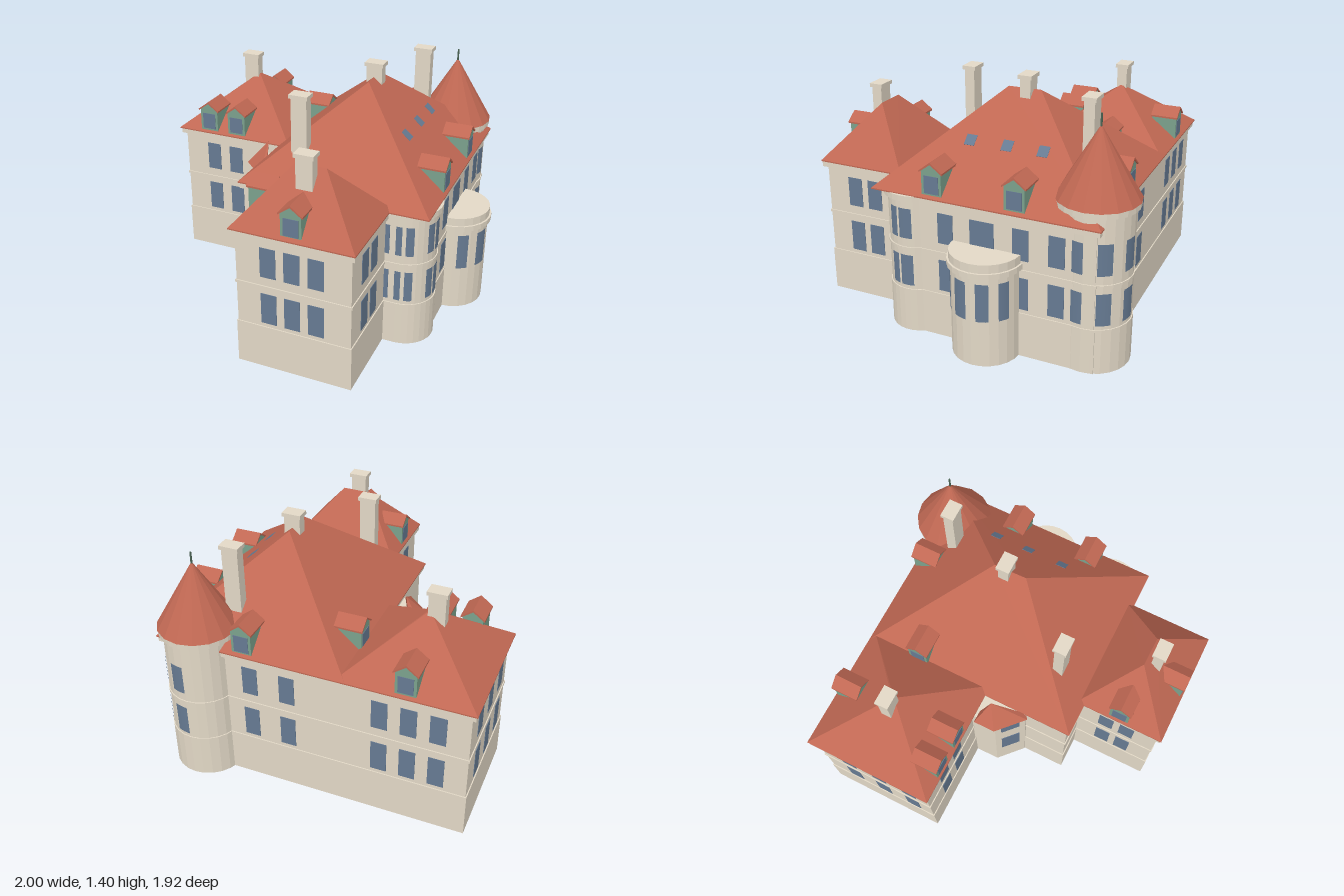
import * as THREE from 'three';
import { ConvexGeometry } from 'three/addons/geometries/ConvexGeometry.js';

const mat = (name, color, extra = {}) => {
  const m = new THREE.MeshStandardMaterial({ color, ...extra });
  m.name = name;
  return m;
};

export function createModel() {
  const stone = mat('stone', 0xe2d8c6, { flatShading: true, side: THREE.DoubleSide });
  const tile = mat('roofTile', 0xc06853, { flatShading: true });
  const glass = mat('glass', 0x667a92);
  const green = mat('dormerGreen', 0x7ba18c);
  const metal = mat('finialMetal', 0x4a6353);
  const root = new THREE.Group();
  root.name = 'mansion';

  const add = (name, geo, material, x = 0, y = 0, z = 0, parent = root) => {
    const m = new THREE.Mesh(geo, material);
    m.name = name;
    m.position.set(x, y, z);
    parent.add(m);
    return m;
  };
  const deg = THREE.MathUtils.degToRad;
  const box = (w, h, d) => new THREE.BoxGeometry(w, h, d);

  // Closed upright prism over a list of [x, z] points
  const prism = (name, pts, y0, y1) => {
    const shape = new THREE.Shape(pts.map(([x, z]) => new THREE.Vector2(x, -z)));
    const geo = new THREE.ExtrudeGeometry(shape, { depth: y1 - y0, bevelEnabled: false });
    add(name, geo.rotateX(-Math.PI / 2), stone, 0, y0, 0);
  };

  // Hollow wall without floor or ceiling: profile is a list of [grow, y]
  const hollowWall = (name, footprint, profile) => {
    const rings = profile.map(([g, y]) => footprint(g).map(([x, z]) => [x, y, z]));
    const pos = [];
    for (let r = 0; r + 1 < rings.length; r++) {
      const lo = rings[r], hi = rings[r + 1];
      lo.forEach((a, i) => {
        const j = (i + 1) % lo.length;
        pos.push(...a, ...lo[j], ...hi[j], ...a, ...hi[j], ...hi[i]);
      });
    }
    const geo = new THREE.BufferGeometry();
    geo.setAttribute('position', new THREE.Float32BufferAttribute(pos, 3));
    geo.computeVertexNormals();
    add(name, geo, stone);
  };

  // Open-bottomed ground floor with plinth, then upper floor and cornice
  const storeys = (name, footprint, top = 0.83) => {
    hollowWall(name + 'GroundFloor', footprint, [[0.006, 0], [0.006, 0.262], [0, 0.262], [0, 0.505]]);
    prism(name + 'UpperFloor', footprint(0), 0.505, top - 0.02);
    hollowWall(name + 'StringCourse', footprint, [[0, 0.505], [0.006, 0.505], [0.006, 0.52], [0, 0.52]]);
    prism(name + 'Cornice', footprint(0.022), top - 0.033, top);
  };
  const rect = (x0, x1, z0, z1) => (g) =>
    [[x0 - g, z1 + g], [x1 + g, z1 + g], [x1 + g, z0 - g], [x0 - g, z0 - g]];
  const arc = (c, g, a0, a1, n) => Array.from({ length: n + 1 }, (_, i) => {
    const a = deg(a0 + ((a1 - a0) * i) / n);
    return [c.x + (c.r + g) * Math.sin(a), c.z + (c.r + g) * Math.cos(a)];
  });
  const circle = (c) => (g) => arc(c, g, 0, 345, 23);

  // Main block with one rounded corner, two wings, round back tower
  const corner = { x: 0.65, z: 0.285, r: 0.165 };
  const tower = { x: 0.6, z: -0.735, r: 0.198 };
  const bay = { x: 0.79, z: -0.194, r: 0.19 };
  storeys('mainBlock', (g) => [[-0.27 - g, 0.45 + g], ...arc(corner, g, 0, 122, 10),
    [0.79 + g, -0.8 - g], [-0.27 - g, -0.8 - g]]);
  storeys('leftWing', rect(-0.97, -0.26, -0.8, -0.09));
  storeys('frontWing', rect(-0.075, 0.575, 0.44, 0.93));
  storeys('tower', circle(tower), 0.922);

  // Hipped roofs
  const hull = (name, pts) =>
    add(name, new ConvexGeometry(pts.map((p) => new THREE.Vector3(...p))), tile);
  const hipRoof = (name, x0, x1, z0, z1, top) => {
    const h = Math.min(x1 - x0, z1 - z0) / 2 - 0.002;
    const pts = [[x0 + h, top, z0 + h], [x1 - h, top, z1 - h]];
    for (const x of [x0, x1]) for (const z of [z0, z1]) pts.push([x, 0.828, z], [x, 0.835, z]);
    hull(name, pts);
  };
  hipRoof('mainRoof', -0.3, 0.82, -0.83, 0.475, 1.32);
  hipRoof('leftWingRoof', -1, -0.235, -0.83, -0.06, 1.13);
  hipRoof('frontWingRoof', -0.1, 0.6, 0.425, 0.957, 1.14);
  add('towerRoof', new THREE.ConeGeometry(0.225, 0.38, 16), tile, tower.x, 1.112, tower.z);
  add('towerFinial', new THREE.CylinderGeometry(0.005, 0.006, 0.09, 8), metal, tower.x, 1.315, tower.z);

  // Angled stair turret in the inner corner
  const stairPlan = [[-0.42, -0.1], [-0.42, 0.06], [-0.28, 0.19], [-0.25, 0.19], [-0.25, -0.1]];
  hollowWall('stairTurretGroundFloor', () => stairPlan, [[0, 0], [0, 0.505]]);
  prism('stairTurretUpperFloor', stairPlan, 0.505, 0.755);
  hull('stairTurretRoof', [[-0.45, 0.75, -0.06], [-0.45, 0.75, 0.07], [-0.3, 0.75, 0.21],
    [-0.27, 0.75, 0.19], [-0.38, 0.75, -0.06], [-0.34, 0.88, 0]]);

  // Flat windows: heading is the turn about y from facing +z
  const flatWindow = (x, z, heading, w, y0, y1) => {
    const m = add('window', box(w, y1 - y0, 0.004), glass, x, (y0 + y1) / 2, z);
    m.rotation.y = deg(heading);
  };
  const rows = [[0.285, 0.47], [0.572, 0.748]];
  const column = (x, z, heading, w = 0.09) => rows.forEach(([a, b]) => flatWindow(x, z, heading, w, a, b));
  for (const x of [-0.775, -0.62]) column(x, -0.089, 0);
  for (const x of [0.11, 0.245, 0.38]) column(x, 0.931, 0);
  for (const z of [0.75, 0.62]) {
    column(0.576, z, 90);
    column(-0.076, z, -90);
  }
  for (const z of [0.045, -0.39, -0.59]) column(0.791, z, 90);
  flatWindow(0.791, -0.17, 90, 0.14, ...rows[1]);
  column(0.588, 0.451, 0, 0.025);
  for (const x of [0.27, 0.05, -0.48, -0.64, -0.8]) column(x, -0.801, 180);
  for (const z of [-0.62, -0.42, -0.22]) column(-0.971, z, -90);
  for (const [a, b] of [[0.23, 0.43], [0.575, 0.73]]) flatWindow(-0.351, 0.126, -43, 0.115, a, b);

  // Windows bent round a curved wall
  const curvedWindow = (c, angle, w, y0, y1) => {
    const r = c.r + 0.003, t = w / r;
    const geo = new THREE.CylinderGeometry(r, r, y1 - y0, 4, 1, true, deg(angle) - t / 2, t);
    add('curvedWindow', geo, glass, c.x, (y0 + y1) / 2, c.z);
  };
  for (const [y0, y1] of rows) {
    for (const [a, w] of [[1, 0.035], [22, 0.045], [67, 0.05], [93, 0.075]]) curvedWindow(corner, a, w, y0, y1);
    for (const a of [78, 122, 167]) curvedWindow(tower, a, 0.08, y0, y1);
  }
  for (const [a, w] of [[31, 0.065], [70, 0.08], [109, 0.07], [144, 0.06]]) curvedWindow(bay, a, w, 0.27, 0.49);

  // Round bay on the long side
  hollowWall('bayWall', circle(bay), [[0, 0], [0, 0.53]]);
  prism('bayCornice', circle(bay)(0.019), 0.525, 0.557);
  prism('bayParapet', circle(bay)(0.008), 0.557, 0.605);

  // Gabled dormers, modelled facing +z
  const polygon = (pts, depth) => new THREE.ExtrudeGeometry(
    new THREE.Shape(pts.map((p) => new THREE.Vector2(...p))), { depth, bevelEnabled: false });
  const dormer = (x, z, heading) => {
    const g = new THREE.Group();
    g.name = 'dormer';
    g.position.set(x, 0.845, z);
    g.rotation.y = deg(heading);
    root.add(g);
    add('dormerBody', polygon([[-0.058, 0], [0.058, 0], [0.058, 0.135], [0, 0.18], [-0.058, 0.135]], 0.15),
      green, 0, 0, -0.16, g);
    add('dormerRoof', polygon([[-0.068, 0.128], [0, 0.178], [0.068, 0.128], [0.068, 0.138], [0, 0.19], [-0.068, 0.138]], 0.163),
      tile, 0, 0, -0.165, g);
    add('dormerWindow', box(0.085, 0.1, 0.004), glass, 0, 0.062, -0.009, g);
  };
  dormer(-0.79, -0.062, 0);
  dormer(-0.6, -0.062, 0);
  dormer(0.25, 0.952, 0);
  dormer(0.815, 0.112, 90);
  dormer(0.815, -0.362, 90);
  dormer(-0.295, -0.503, -90);
  dormer(-0.098, 0.682, -90);
  dormer(-0.622, -0.825, 180);
  dormer(0.298, -0.825, 180);

  // Skylights lying in the long slope
  for (const z of [-0.405, -0.2, 0.015]) {
    const m = add('skylight', box(0.065, 0.006, 0.06), glass, 0.534, 1.082, z);
    m.rotation.z = -Math.atan(0.867);
  }

  // Chimneys: x, z, bottom, top
  for (const [x, z, y0, y1] of [[-0.66, -0.445, 0.95, 1.26], [0, 0.27, 0.9, 1.335],
    [0.262, -0.2, 1.27, 1.405], [0.42, -0.623, 0.9, 1.385], [0.25, 0.75, 1.02, 1.237]]) {
    add('chimneyShaft', box(0.094, y1 - y0 - 0.02, 0.06), stone, x, (y0 + y1 - 0.02) / 2, z);
    add('chimneyCap', box(0.112, 0.022, 0.08), stone, x, y1 - 0.011, z);
  }
  return root;
}
